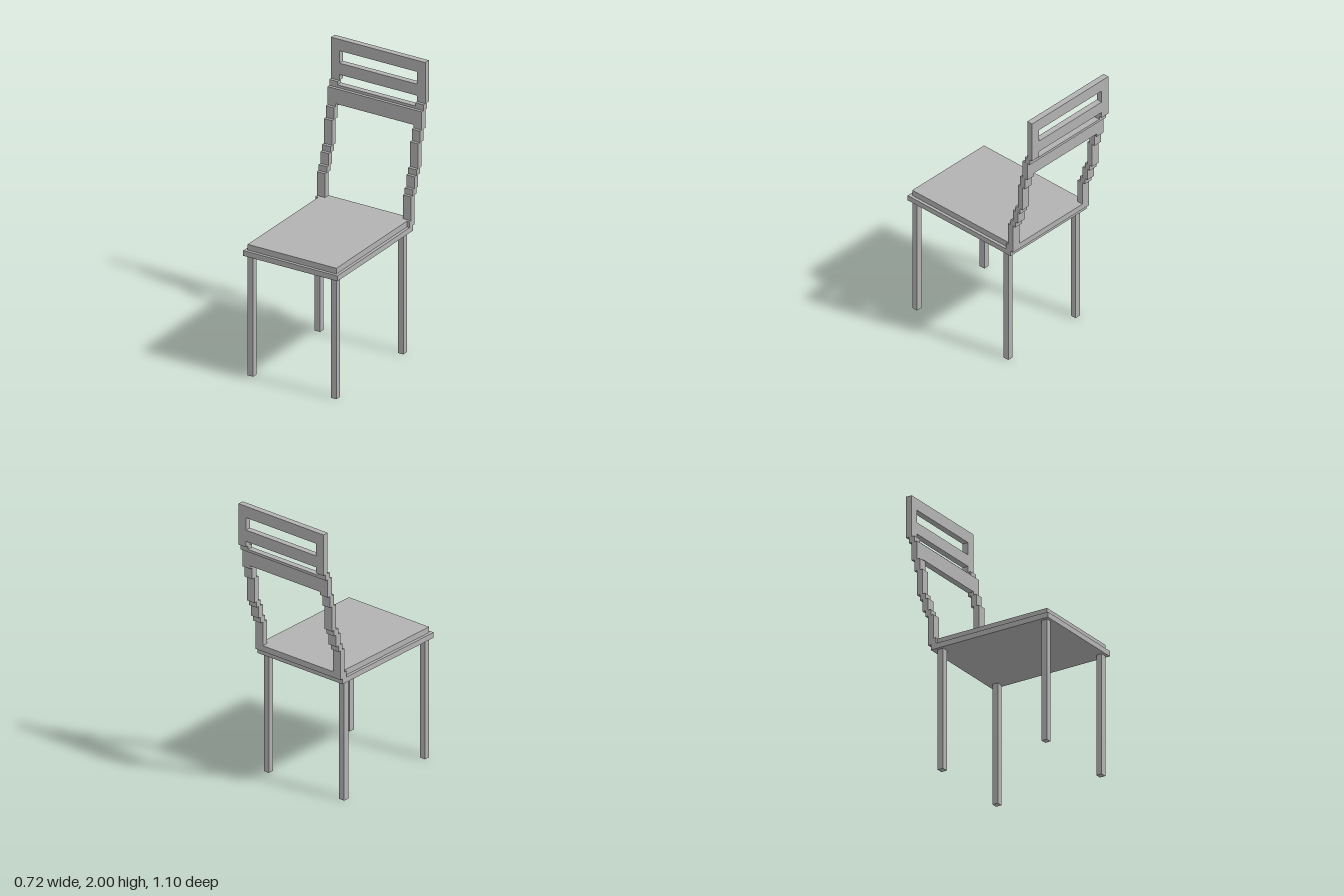
import * as THREE from 'three';

const STEP = 0.0212; // depth offset between stair-stepped layers
const HALF = 0.361; // half width of the chair
const POST_IN = 0.298; // inner side of the posts

export function createModel() {
  const chair = new THREE.Group();
  chair.name = 'chair';
  const grey = new THREE.MeshStandardMaterial({ color: 0xb2b2b2 });
  grey.name = 'grey';

  // Box given by its extents on each axis
  function box(name, x0, x1, y0, y1, z0, z1) {
    const geometry = new THREE.BoxGeometry(x1 - x0, y1 - y0, z1 - z0);
    const mesh = new THREE.Mesh(geometry, grey);
    mesh.position.set((x0 + x1) / 2, (y0 + y1) / 2, (z0 + z1) / 2);
    mesh.name = name;
    chair.add(mesh);
  }

  // Seat: wide base, inset cushion and a cross bar behind it
  box('seatBase', -HALF, HALF, 0.857, 0.895, -0.36, 0.55);
  box('seatCushion', -0.34, 0.34, 0.895, 0.936, -0.32, 0.529);
  box('seatBackBar', -HALF, HALF, 0.895, 0.936, -0.381, -0.32);

  // Four square legs
  for (const side of ['left', 'right']) {
    const x0 = side === 'left' ? 0.298 : -0.34;
    box(side + 'FrontLeg', x0, x0 + 0.042, 0, 0.857, 0.487, 0.529);
    box(side + 'BackLeg', x0, x0 + 0.042, 0, 0.857, -0.32, -0.278);
  }

  // Back posts lean backwards in steps; each layer is one step further back
  const levels = [0.936, 1.106, 1.148, 1.233, 1.275, 1.452, 1.534, 1.664, 1.706, 2];
  const front = (i) => -0.339 - STEP * i;
  const back = (i) => front(i) - 2 * STEP;
  for (let i = 0; i < levels.length - 1; i++) {
    box('leftBackPost', POST_IN, HALF, levels[i], levels[i + 1], back(i), front(i));
    box('rightBackPost', -HALF, -POST_IN, levels[i], levels[i + 1], back(i), front(i));
  }

  // Rails between the posts: [name, layer, bottom, top]
  const rails = [
    ['lowerRail', 6, 1.556, 1.664],
    ['lowerRailLip', 7, 1.664, 1.683],
    ['middleRail', 8, 1.748, 1.83],
    ['topRail', 8, 1.918, 2],
  ];
  for (const [name, i, y0, y1] of rails) box(name, -POST_IN, POST_IN, y0, y1, back(i), front(i));

  return chair;
}
